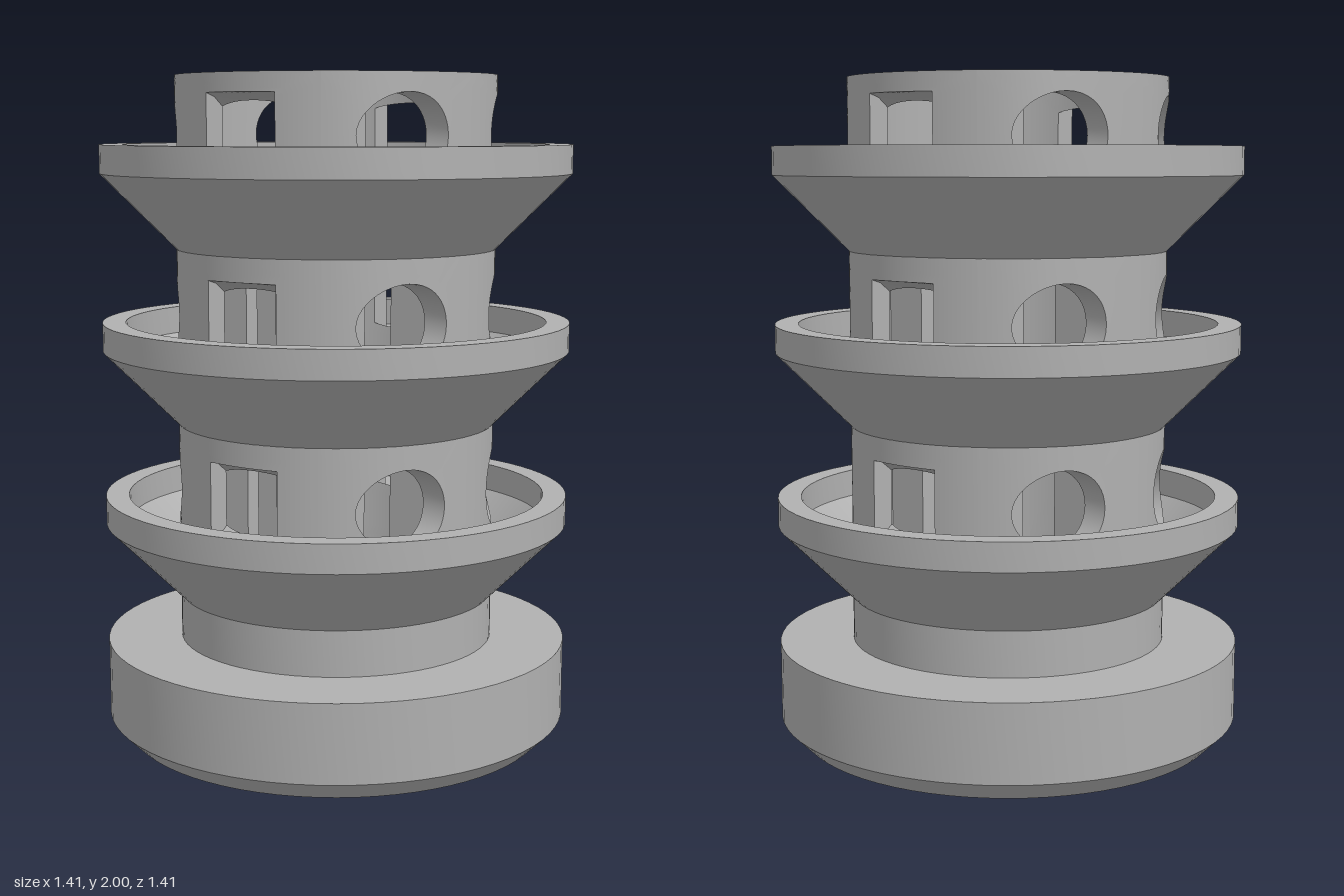
import * as THREE from 'three';
import { toCreasedNormals } from 'three/addons/utils/BufferGeometryUtils.js';

const OUT = 0.48, INN = 0.41;        // tube radii
const HOLE = 0.12;                   // port radius and half length
const FLOOR = 0.12, STEP = 0.5275, PORT_Y = 0.77;
const SEG = 12, SPREAD = 6;          // panel resolution

const gray = new THREE.MeshStandardMaterial({ color: 0xb0b0b0 });
gray.name = 'gray plastic';

function part(name, geometry) {
  const mesh = new THREE.Mesh(toCreasedNormals(geometry, 0.45), gray);
  mesh.name = name;
  return mesh;
}

function lathe(name, profile) {
  const pts = profile.map(([r, y]) => new THREE.Vector2(r, y));
  return part(name, new THREE.LatheGeometry(pts, SEG * 6));
}

// Counter-clockwise walk round the square [-1, 1] x [-1, 1]
function squareLoop() {
  const loop = [];
  for (let s = 0; s < 4; s++) {
    for (let k = 0; k < SEG; k++) {
      const t = -1 + (2 * k) / SEG;
      loop.push([[t, -1], [1, t], [-t, 1], [-1, -t]][s]);
    }
  }
  return loop;
}

// Ports are short horizontal drums lying along x, so the side ones look round
// and the front one rectangular. Each returns outer, middle and inner points.
function sidePort([a, b], cy) {
  const phi = Math.atan2(b, a), end = 0.416 - HOLE;
  const z = 0.24 - HOLE * Math.cos(phi), y = cy + HOLE * Math.sin(phi);
  const zIn = Math.min(z, Math.sqrt(INN * INN - end * end));
  const xIn = Math.sqrt(INN * INN - zIn * zIn);
  return [[Math.sqrt(OUT * OUT - z * z), y, z], [xIn, y, z], [xIn, y, zIn]];
}

function frontPort([a, b], cy) {
  const x = HOLE * a;
  return [OUT, (OUT + INN) / 2, INN].map((r) => {
    const z = Math.sqrt(r * r - x * x);
    return [x, cy + b * Math.sqrt(HOLE * HOLE - (z - OUT) ** 2), z];
  });
}

// A sixth of the tube wall: outer skin, port walls and inner skin in one loft
function wallPanel(port, centre, cy, y0, y1, mirror) {
  const loop = squareLoop(), n = loop.length, rings = [];
  for (let i = 0; i < 2 * SPREAD + 3; i++) rings.push([]);
  loop.forEach((ab, k) => {
    const [o, m, inner] = port(ab, cy);
    const edgeAngle = centre - (ab[0] * Math.PI) / 6;
    const edgeY = ab[1] < 0 ? y0 + (ab[1] + 1) * (cy - y0) : cy + ab[1] * (y1 - cy);
    const skin = (r, p, t) => {
      const angle = THREE.MathUtils.lerp(edgeAngle, Math.atan2(p[2], p[0]), t);
      return [r * Math.cos(angle), THREE.MathUtils.lerp(edgeY, p[1], t), r * Math.sin(angle)];
    };
    for (let i = 0; i <= SPREAD; i++) {
      rings[i][k] = skin(OUT, o, i / SPREAD);
      rings[2 * SPREAD + 2 - i][k] = skin(INN, inner, i / SPREAD);
    }
    rings[SPREAD + 1][k] = m;
  });
  const index = [];
  for (let i = 0; i < rings.length - 1; i++) {
    for (let k = 0; k < n; k++) {
      const a = i * n + k, b = i * n + ((k + 1) % n), c = b + n, d = a + n;
      index.push(...(mirror ? [a, c, b, a, d, c] : [a, b, c, a, c, d]));
    }
  }
  const pos = rings.flat().flatMap(([x, y, z]) => [mirror ? -x : x, y, z]);
  const geometry = new THREE.BufferGeometry();
  geometry.setAttribute('position', new THREE.Float32BufferAttribute(pos, 3));
  geometry.setIndex(index);
  return geometry;
}

export function createModel() {
  const model = new THREE.Group();
  model.name = 'tieredTower';
  const firstY = PORT_Y - STEP / 2;

  // Chamfered base with stepped floor, drain hole and lower tube
  model.add(lathe('base', [
    [INN, firstY], [INN, FLOOR], [0.235, FLOOR], [0.235, 0.06], [0.112, 0.06], [0.112, 0],
    [0.645, 0], [0.705, 0.06], [0.705, 0.295], [OUT, 0.295], [OUT, firstY],
  ]));

  for (let t = 0; t < 3; t++) {
    const cy = PORT_Y + t * STEP;
    const y0 = cy - STEP / 2, y1 = t === 2 ? 2 : cy + STEP / 2;

    // Ported tube wall, half a turn repeated twice
    const wall = new THREE.Group();
    wall.name = 'tubeWall' + (t + 1);
    const panels = [
      part('sidePort', wallPanel(sidePort, Math.PI / 6, cy, y0, y1, false)),
      part('frontPort', wallPanel(frontPort, Math.PI / 2, cy, y0, y1, false)),
      part('sidePortMirrored', wallPanel(sidePort, Math.PI / 6, cy, y0, y1, true)),
    ];
    for (const panel of panels) {
      const opposite = panel.clone();
      opposite.rotation.y = Math.PI;
      wall.add(panel, opposite);
    }
    model.add(wall);

    // Flared cup round the tube
    const top = 0.743 + t * STEP;
    model.add(lathe('cup' + (t + 1), [
      [OUT, top - 0.31], [0.705, top - 0.085], [0.705, top],
      [0.635, top], [0.635, top - 0.085], [OUT, top - 0.24],
    ]));
  }

  // Flat top edge of the tube
  model.add(lathe('tubeRim', [[OUT, 2], [INN, 2]]));

  // Paired upright guide rails inside the tube
  const railTop = 1.66;
  for (const sx of [-1, 1]) {
    for (const sz of [-1, 1]) {
      const rail = part('guideRail', new THREE.BoxGeometry(0.145, railTop - FLOOR, 0.055));
      rail.position.set(sx * 0.3375, (railTop + FLOOR) / 2, sz * 0.075);
      model.add(rail);
    }
  }
  return model;
}
